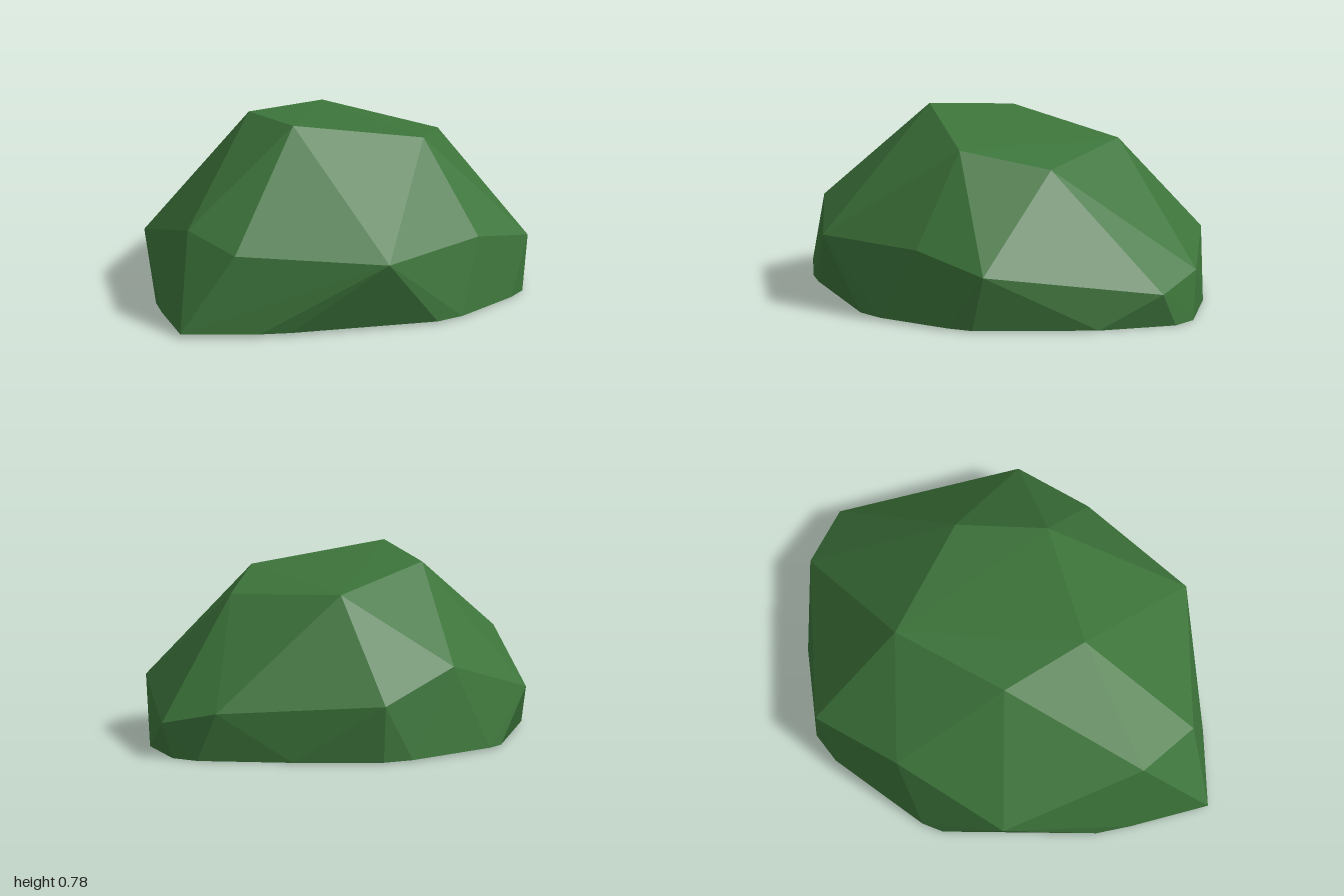
import * as THREE from 'three';
import { ConvexGeometry } from 'three/addons/geometries/ConvexGeometry.js';

export function createModel() {
  const model = new THREE.Group();
  model.name = 'rock';
  const green = new THREE.MeshStandardMaterial({ color: 0x3d753b, flatShading: true });
  green.name = 'mossGreen';

  // Crown corners
  const crown = [
    [-0.29, 0.74, 0.16], [0.07, 0.78, 0.32], [0.42, 0.69, -0.12],
    [0.23, 0.62, -0.46], [-0.32, 0.66, -0.38],
  ];
  // Shoulder corners around the sides
  const shoulder = [
    [-0.14, 0.39, 0.77], [0.15, 0.34, 0.82], [0.66, 0.30, 0.42],
    [0.71, 0.31, -0.12], [0.70, 0.235, -0.47], [0.14, 0.14, -0.99],
    [-0.13, 0.20, -0.95], [-0.70, 0.24, -0.52], [-0.705, 0.365, -0.10],
    [-0.65, 0.22, 0.41],
  ];
  // Base outline (x, z), on a very slightly tilted plane
  const base = [
    [0, 1], [0.26, 0.79], [0.35, 0.69], [0.72, 0.17], [0.75, 0.04],
    [0.735, -0.31], [0.71, -0.42], [0.36, -0.82], [0.07, -1], [-0.06, -0.99],
    [-0.40, -0.77], [-0.69, -0.52], [-0.735, -0.39], [-0.755, 0.07],
    [-0.735, 0.16], [-0.37, 0.69], [-0.26, 0.79],
  ].map(([x, z]) => [x, 0.0075 * (1 + z), z]);

  const points = [...crown, ...shoulder, ...base].map((p) => new THREE.Vector3(...p));
  const boulder = new THREE.Mesh(new ConvexGeometry(points), green);
  boulder.name = 'boulder';
  model.add(boulder);
  return model;
}
